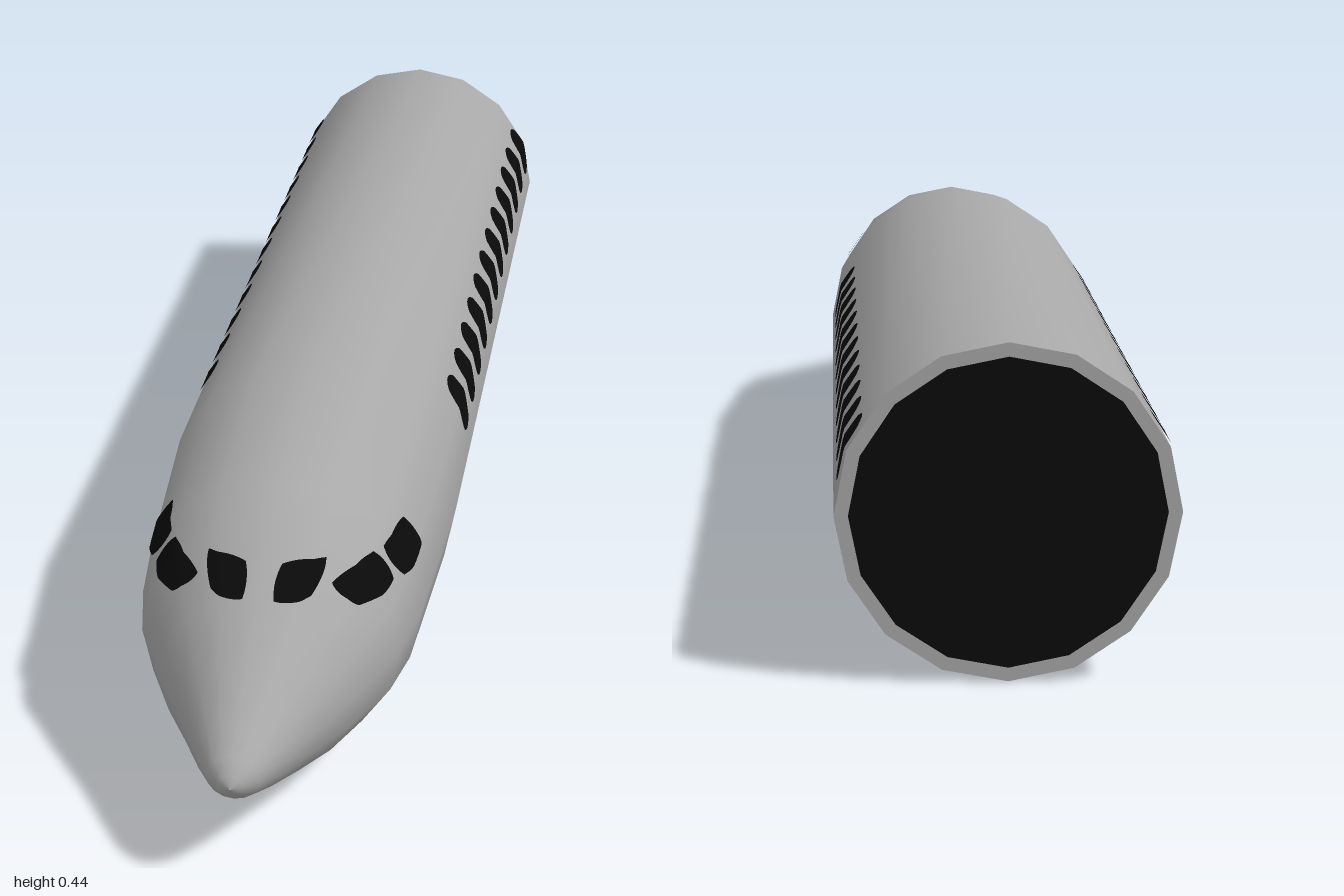
import * as THREE from 'three';

const SIDES = 16;
const STEP = (Math.PI * 2) / SIDES;

// Hull cross-sections: z, centre height, half width, half height
const SECTIONS = [
  [-1, 0.22, 0.218, 0.218],
  [0.32, 0.22, 0.218, 0.218],
  [0.6, 0.206, 0.2, 0.198],
  [0.69, 0.198, 0.182, 0.172],
  [0.78, 0.181, 0.138, 0.136],
  [0.86, 0.17, 0.094, 0.095],
  [0.93, 0.165, 0.06, 0.058],
  [0.975, 0.164, 0.036, 0.033],
  [0.994, 0.163, 0.017, 0.016],
  [1, 0.163, 0.001, 0.001],
];

// Interpolated section at z
function sectionAt(z) {
  let i = 0;
  while (i < SECTIONS.length - 2 && z > SECTIONS[i + 1][0]) i++;
  const a = SECTIONS[i], b = SECTIONS[i + 1];
  const t = (z - a[0]) / (b[0] - a[0]);
  return a.map((v, k) => v + (b[k] - v) * t);
}

// Point on the faceted hull; angle runs from the top towards +x
function hullPoint(z, angle, lift = 0) {
  const [, cy, rx, ry] = sectionAt(z);
  const i = Math.floor(angle / STEP), t = angle / STEP - i;
  const mix = (f) => f(i * STEP) * (1 - t) + f((i + 1) * STEP) * t;
  return [
    rx * mix(Math.sin) + lift * Math.sin(angle),
    cy + ry * mix(Math.cos) + lift * Math.cos(angle),
    z,
  ];
}

// Root of a decreasing function
function solve(f, target, lo, hi) {
  for (let i = 0; i < 40; i++) {
    const mid = (lo + hi) / 2;
    if (f(mid) > target) lo = mid; else hi = mid;
  }
  return (lo + hi) / 2;
}
const LIFT = 0.003;
const onSide = (z, y) => hullPoint(z, solve((a) => hullPoint(z, a)[1], y, 0, Math.PI), LIFT);
const onNose = (a, y) => hullPoint(solve((z) => hullPoint(z, a)[1], y, 0.4, 0.95), a, LIFT + 0.001);

// Thin painted patch laid on the hull; round 0 is a rectangle, 1 an ellipse
function patch(name, material, side, round, place, n = 8) {
  const geo = new THREE.PlaneGeometry(2, 2, n, n);
  const p = geo.attributes.position;
  for (let i = 0; i < p.count; i++) {
    const u = -side * p.getX(i), v = p.getY(i);
    const [x, y, z] = place(
      u * Math.sqrt(1 - (round * v * v) / 2),
      v * Math.sqrt(1 - (round * u * u) / 2)
    );
    p.setXYZ(i, side * x, y, z);
  }
  geo.computeVertexNormals();
  const mesh = new THREE.Mesh(geo, material);
  mesh.name = name;
  return mesh;
}

const span = (a, b, t) => (a + b) / 2 + ((b - a) / 2) * t;

function hullGeometry() {
  const pos = [], idx = [];
  for (const [z] of SECTIONS)
    for (let i = 0; i < SIDES; i++) pos.push(...hullPoint(z, i * STEP));
  for (let s = 0; s < SECTIONS.length - 1; s++)
    for (let i = 0; i < SIDES; i++) {
      const j = (i + 1) % SIDES;
      const a = s * SIDES + i, b = s * SIDES + j, c = a + SIDES, d = b + SIDES;
      idx.push(a, c, b, b, c, d);
    }
  const geo = new THREE.BufferGeometry();
  geo.setAttribute('position', new THREE.Float32BufferAttribute(pos, 3));
  geo.setIndex(idx);
  geo.computeVertexNormals();
  return geo;
}

export function createModel() {
  const material = (name, color) => {
    const m = new THREE.MeshStandardMaterial({ color });
    m.name = name;
    return m;
  };
  const grey = material('hullGrey', 0xa8a8a8);
  const black = material('windowBlack', 0x0a0a0a);
  const blue = material('stripeBlue', 0x3a70b5);

  const model = new THREE.Group();
  model.name = 'fuselage';
  const add = (name, geo, mat) => {
    const mesh = new THREE.Mesh(geo, mat);
    mesh.name = name;
    model.add(mesh);
    return mesh;
  };

  add('hull', hullGeometry(), grey);

  // Open rear end: grey rim around a dark disc
  const rim = add('rearRim', new THREE.RingGeometry(0.2, 0.218, SIDES), grey);
  const disc = add('rearOpening', new THREE.CircleGeometry(0.2, SIDES), black);
  for (const part of [rim, disc]) {
    part.rotation.y = Math.PI;
    part.position.set(0, 0.22, -1);
  }

  // Stripe rectangles: z front, z back, y bottom, y top
  const stripes = [
    [0.32, -0.6, 0.09, 0.115],
    [-0.6, -0.905, 0.088, 0.13],
    [-0.645, -0.965, 0.13, 0.158],
    [0.32, 0.29, 0.115, 0.162],
    [0.29, 0.26, 0.132, 0.162],
    [0.226, 0.214, 0.115, 0.152],
  ];

  for (const side of [1, -1]) {
    const label = side > 0 ? 'left' : 'right';

    // Row of cabin windows
    for (let i = 0; i < 12; i++) {
      const z = 0.122 - i * 0.098;
      model.add(patch(label + 'CabinWindow', black, side, 0.75,
        (u, v) => onSide(z + u * 0.034, 0.297 + v * 0.041)));
    }

    // Cockpit windows, from the centre outwards
    model.add(patch(label + 'FrontWindow', black, side, 0.5,
      (u, v) => onNose(span(0.5, 0.13, u), span(0.31, 0.344, v)), 12));
    model.add(patch(label + 'CornerWindow', black, side, 0.6,
      (u, v) => onSide(span(0.645, 0.735, u), span(0.283, span(0.333, 0.32, u), v)), 12));
    model.add(patch(label + 'SideWindow', black, side, 0.5,
      (u, v) => onSide(span(0.535, 0.635, u), span(0.278, 0.327, v)), 12));

    // Blue side stripe
    for (const [zf, zb, y0, y1] of stripes)
      model.add(patch(label + 'Stripe', blue, side, 0,
        (u, v) => onSide(span(zb, zf, u), span(y0, y1, v))));
  }

  return model;
}
